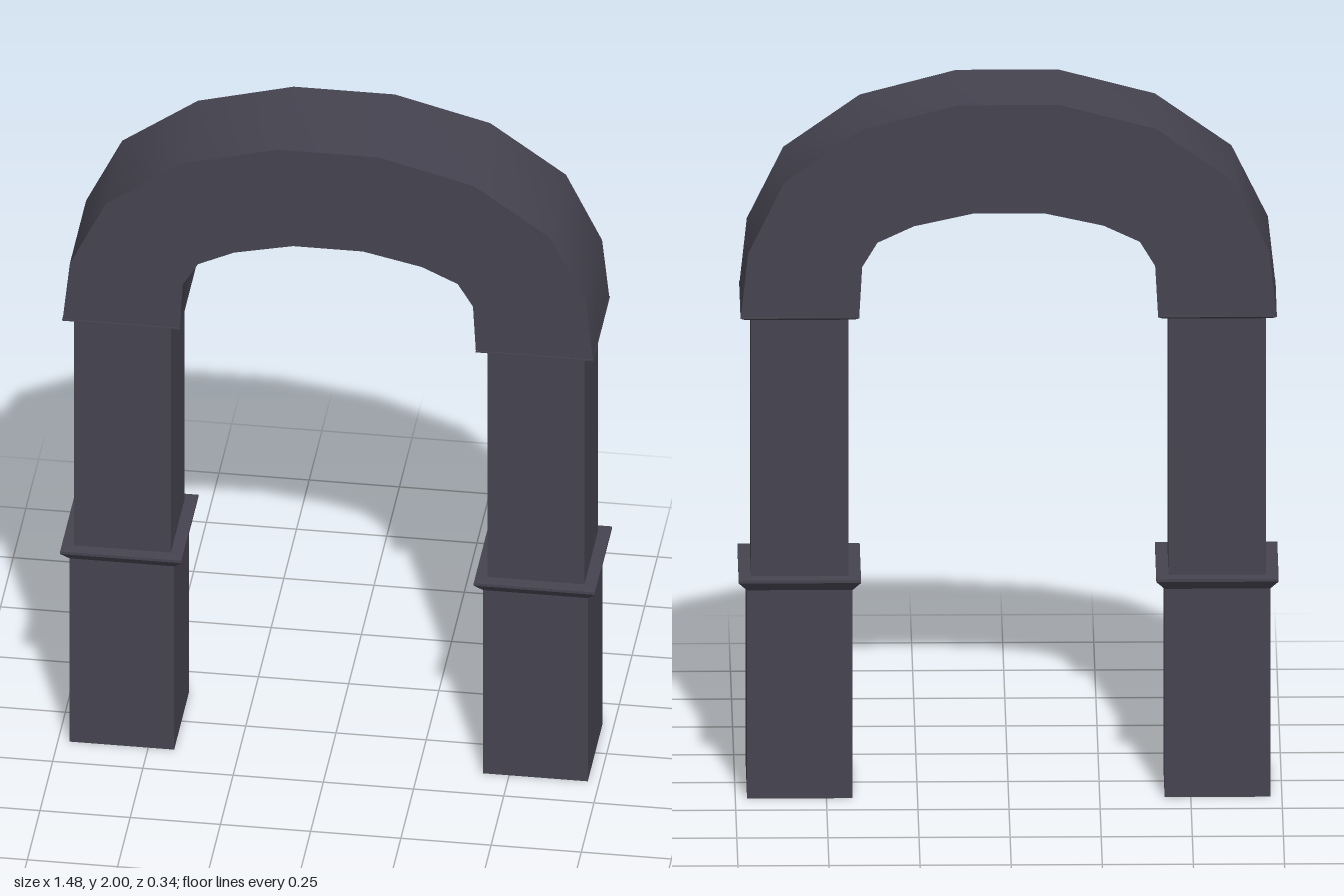
import * as THREE from 'three';
import { toCreasedNormals } from 'three/addons/utils/BufferGeometryUtils.js';

const material = new THREE.MeshStandardMaterial({ color: 0x45434f });

// Square solid from [half width, height] pairs, listed from bottom to top
function squareProfile(name, pairs) {
  const points = pairs.map(([half, y]) => new THREE.Vector2(half * Math.SQRT2, y));
  const lathe = new THREE.LatheGeometry(points, 4, Math.PI / 4).toNonIndexed();
  lathe.computeVertexNormals();
  const mesh = new THREE.Mesh(lathe, material);
  mesh.name = name;
  return mesh;
}

function box(name, width, bottom, top) {
  const mesh = new THREE.Mesh(new THREE.BoxGeometry(width, top - bottom, width), material);
  mesh.position.y = (bottom + top) / 2;
  mesh.name = name;
  return mesh;
}

// Faceted arch outline, mirrored about its centre
function createArch() {
  const outer = [[0.735, 1.39], [0.715, 1.575], [0.615, 1.78], [0.405, 1.93], [0.14, 2]];
  const inner = [[0.41, 1.39], [0.402, 1.535], [0.36, 1.605], [0.26, 1.652], [0.097, 1.688]];
  const mirror = (list) => list.map(([x, y]) => [-x, y]).reverse();
  const outline = [...outer, ...mirror(outer), ...inner.map(([x, y]) => [-x, y]), ...inner.slice().reverse()];
  const shape = new THREE.Shape(outline.map(([x, y]) => new THREE.Vector2(x, y)));
  const geometry = new THREE.ExtrudeGeometry(shape, { depth: 0.32, bevelEnabled: false });
  geometry.translate(0, 0, -0.16);
  const arch = new THREE.Mesh(toCreasedNormals(geometry, 0.75), material);
  arch.name = 'arch';
  return arch;
}

export function createModel() {
  const model = new THREE.Group();
  model.name = 'archway';
  model.add(createArch());

  for (const [side, name] of [[1, 'leftPillar'], [-1, 'rightPillar']]) {
    const pillar = new THREE.Group();
    pillar.name = name;
    pillar.position.x = side * 0.573;

    pillar.add(box('base', 0.29, 0, 0.605));
    pillar.add(box('shaft', 0.268, 0.6, 1.385));

    // Flared moulding between base and shaft
    pillar.add(squareProfile('collar', [
      [0, 0.6], [0.145, 0.6], [0.168, 0.627], [0.168, 0.635], [0.134, 0.637],
    ]));

    // Chamfered foot of the arch
    pillar.add(squareProfile('archFoot', [
      [0, 1.38], [0.149, 1.38], [0.163, 1.388], [0.163, 1.392], [0, 1.392],
    ]));
    model.add(pillar);
  }
  return model;
}
